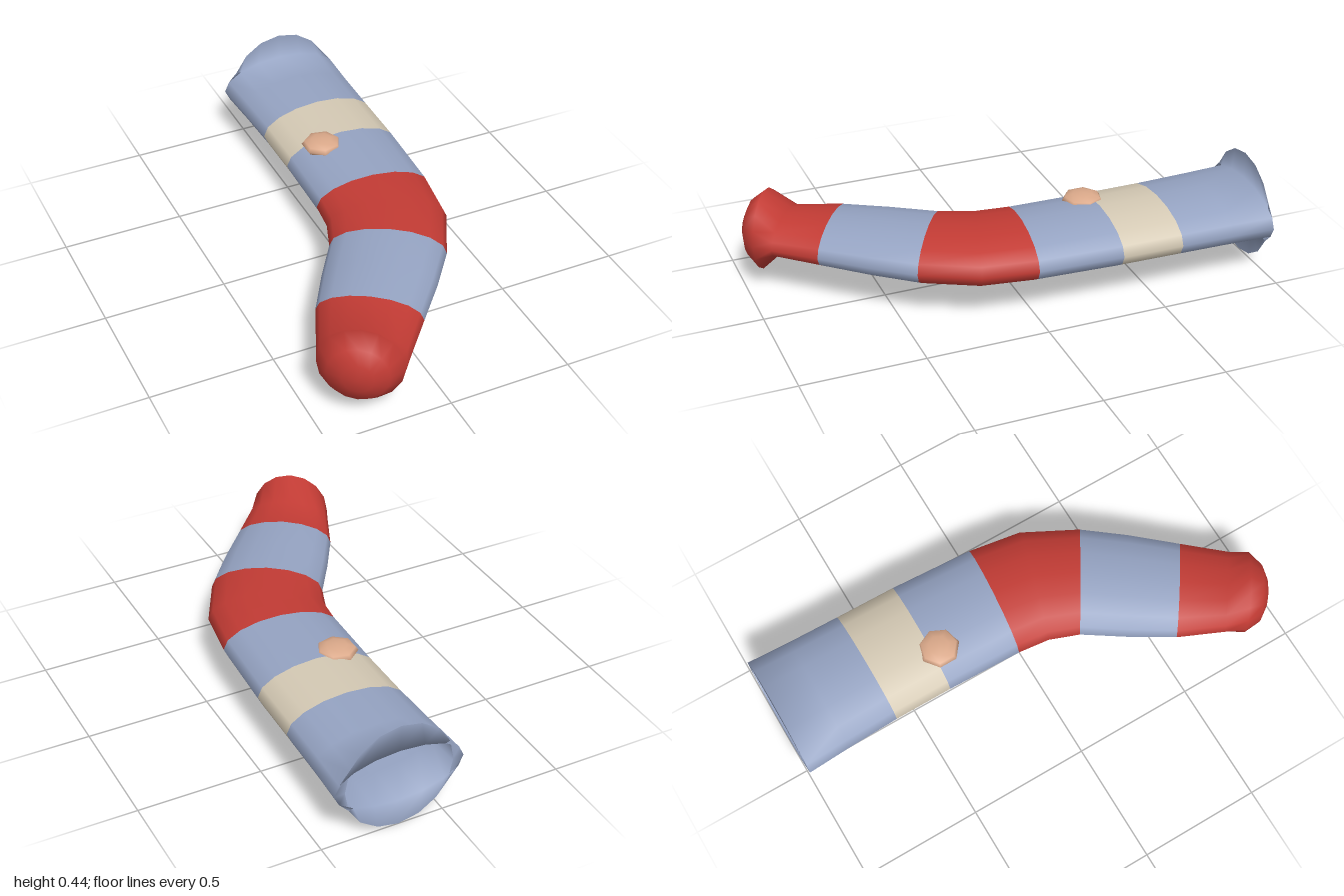
import * as THREE from 'three';

const SIDES = 16;
const MID_Y = 0.222;

function makeMaterial(name, color, side = THREE.FrontSide) {
  const m = new THREE.MeshStandardMaterial({ color, side });
  m.name = name;
  return m;
}

// Each section: left x, left z, right x, right z, half height, colour index of the stretch leading to it
const BLUE = 0, RED = 1, CREAM = 2;
const sections = [
  [-0.037, -1.0, 0.407, -1.0, 0.222, BLUE], // round flared rim
  [-0.08, -1.0, 0.45, -1.0, 0.112, BLUE],   // mouth of the sleeve
  [-0.07, -0.82, 0.442, -0.82, 0.11, BLUE],
  [-0.062, -0.6, 0.437, -0.6, 0.108, BLUE],
  [-0.062, -0.355, 0.433, -0.345, 0.106, CREAM],
  [-0.07, -0.04, 0.415, 0.005, 0.104, BLUE],
  [-0.085, 0.09, 0.38, 0.23, 0.103, RED],
  [-0.13, 0.21, 0.265, 0.45, 0.102, RED],
  [-0.24, 0.375, 0.14, 0.61, 0.097, BLUE],
  [-0.34, 0.54, 0.0, 0.77, 0.089, BLUE],
  [-0.42, 0.72, -0.13, 0.92, 0.076, RED],   // neck before the toe
  [-0.457, 0.8, -0.183, 0.98, 0.165, RED],  // widest ring of the toe
  [-0.452, 0.872, -0.254, 1.0, 0.118, RED],
  [-0.415, 0.925, -0.315, 0.99, 0.06, RED],
];

// Loft through the sections, closed with a fan at the toe
function bodyGeometry() {
  const positions = [], indices = [];
  const geometry = new THREE.BufferGeometry();
  sections.forEach(([lx, lz, rx, rz, h, colour], i) => {
    for (let j = 0; j < SIDES; j++) {
      const a = (j / SIDES) * Math.PI * 2;
      const t = (1 + Math.cos(a)) / 2;
      positions.push(lx + (rx - lx) * t, MID_Y + Math.sin(a) * h, lz + (rz - lz) * t);
    }
    if (i === 0) return;
    const start = indices.length;
    for (let j = 0; j < SIDES; j++) {
      const k = (j + 1) % SIDES;
      const a = (i - 1) * SIDES, b = i * SIDES;
      indices.push(a + j, a + k, b + j, a + k, b + k, b + j);
    }
    geometry.addGroup(start, indices.length - start, colour);
  });
  const tip = positions.length / 3, last = tip - SIDES, start = indices.length;
  positions.push(-0.37, MID_Y, 0.965);
  for (let j = 0; j < SIDES; j++) indices.push(last + j, last + ((j + 1) % SIDES), tip);
  geometry.addGroup(start, indices.length - start, RED);
  geometry.setAttribute('position', new THREE.Float32BufferAttribute(positions, 3));
  geometry.setIndex(indices);
  geometry.computeVertexNormals();
  return geometry;
}

export function createModel() {
  const group = new THREE.Group();
  group.name = 'stripedSleeve';

  const blue = makeMaterial('slateBlue', 0x95a3c2, THREE.DoubleSide);
  const red = makeMaterial('brickRed', 0xc23b34, THREE.DoubleSide);
  const cream = makeMaterial('cream', 0xd4c9b4, THREE.DoubleSide);
  const peach = makeMaterial('peach', 0xdba98a);

  const body = new THREE.Mesh(bodyGeometry(), [blue, red, cream]);
  body.name = 'stripedBody';
  group.add(body);

  // Flattened button on the upper surface
  const button = new THREE.Mesh(new THREE.SphereGeometry(0.084, 7, 6), peach);
  button.name = 'button';
  button.scale.set(1, 0.36, 1);
  button.rotation.y = Math.PI;
  button.position.set(0.082, 0.315, -0.32);
  group.add(button);

  return group;
}
